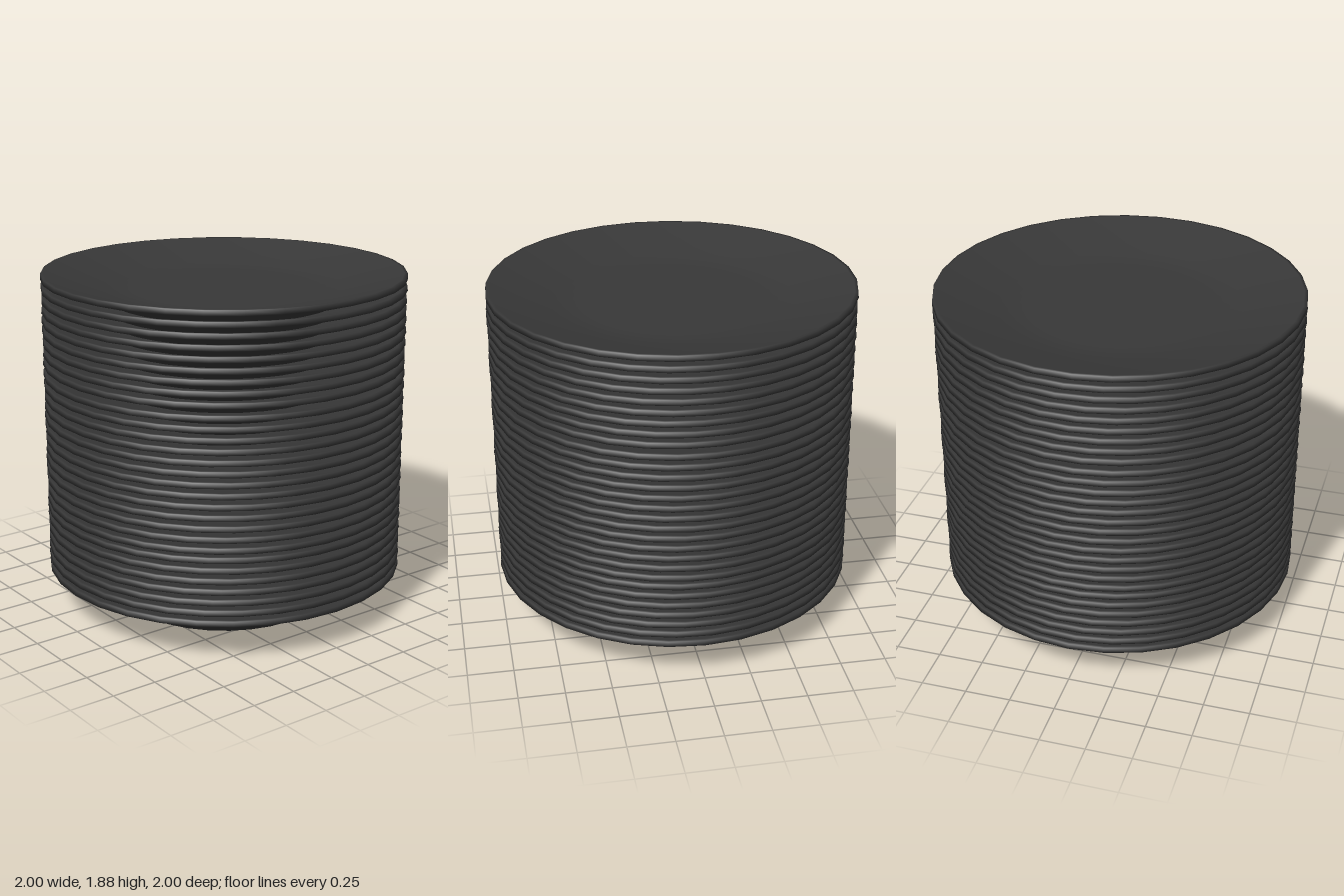
import * as THREE from 'three';

const PLATES = 29;
const PITCH = 0.0587;
const SIDES = 32;

// Plate: narrow foot, flared underside, thin soft rim, shallow dished top
function plateGeometry() {
  const profile = [
    [0, 0], [0.59, 0], [0.652, 0.104], [1, 0.21], [0.997, 0.239], [0.98, 0.239],
    [0.66, 0.15], [0.5, 0.14], [0, 0.14],
  ].map(([r, y]) => new THREE.Vector2(r, y));
  return new THREE.LatheGeometry(profile, SIDES);
}

export function createModel() {
  const group = new THREE.Group();
  group.name = 'plateStack';
  const material = new THREE.MeshStandardMaterial({ color: 0x383838 });
  const geometry = plateGeometry();

  // Nested stack, each plate turned a little so the facets do not line up
  for (let i = 0; i < PLATES; i++) {
    const plate = new THREE.Mesh(geometry, material);
    plate.name = `plate${i + 1}`;
    // The middle plates sit slightly deeper than an even spacing
    const sag = i > 6 && i < 20 ? 0.007 : 0;
    plate.position.y = i * PITCH - sag;
    plate.rotation.y = i * 2.4;
    group.add(plate);
  }
  return group;
}
